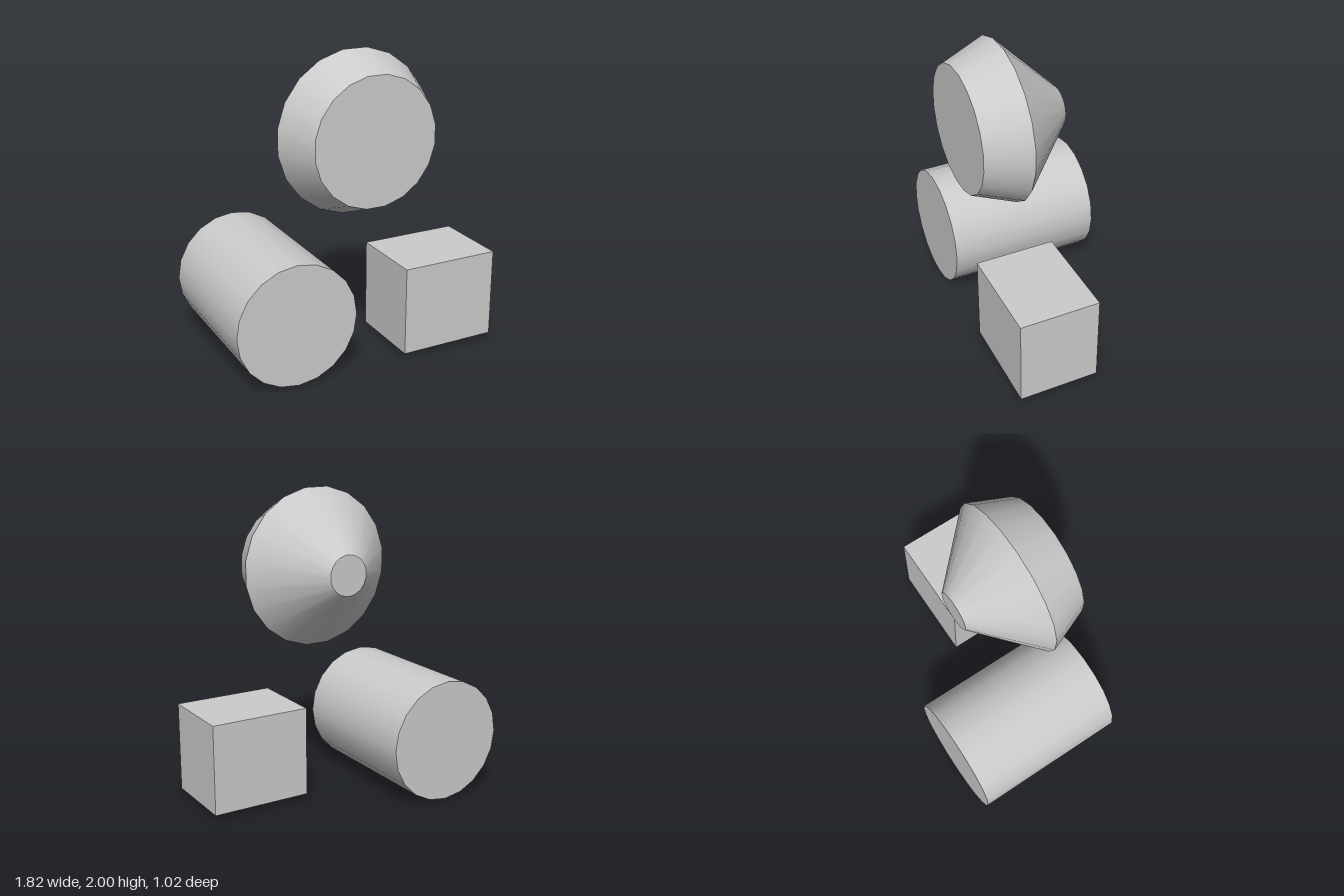
import * as THREE from 'three';

const SIDES = 20;

export function createModel() {
  const model = new THREE.Group();
  const material = new THREE.MeshStandardMaterial({ color: 0xcccccc });

  const add = (parent, name, geometry, x, y, z) => {
    const mesh = new THREE.Mesh(geometry, material);
    mesh.name = name;
    mesh.position.set(x, y, z);
    parent.add(mesh);
  };

  // Round solid lying along z, from zBack to zFront
  const roundAlongZ = (rFront, rBack, zBack, zFront, open, phase) =>
    new THREE.CylinderGeometry(rFront, rBack, zFront - zBack, SIDES, 1, open, phase)
      .rotateX(Math.PI / 2)
      .translate(0, 0, (zFront + zBack) / 2);

  // Cylinder and block on the lower level
  add(model, 'cylinder', roundAlongZ(0.4, 0.4, -0.51, 0.51, false, 0), -0.512, 0.402, 0);
  add(model, 'block', new THREE.BoxGeometry(0.66, 0.59, 0.525), 0.577, 0.325, 0.245);

  // Double cone: two open frustums meeting at a sharp rim, closed by flat discs
  const doubleCone = new THREE.Group();
  doubleCone.name = 'doubleCone';
  doubleCone.position.set(0.015, 1.483, 0);
  const phase = Math.PI / SIDES;
  const rFront = 0.411, rRim = 0.523, rBack = 0.132;
  const zFront = 0.51, zRim = 0.232, zBack = -0.155;
  add(doubleCone, 'frontFrustum', roundAlongZ(rFront, rRim, zRim, zFront, true, phase), 0, 0, 0);
  add(doubleCone, 'backFrustum', roundAlongZ(rRim, rBack, zBack, zRim, true, phase), 0, 0, 0);
  add(doubleCone, 'frontDisc', new THREE.CircleGeometry(rFront, SIDES, phase), 0, 0, zFront);
  add(doubleCone, 'backDisc', new THREE.CircleGeometry(rBack, SIDES, phase).rotateY(Math.PI), 0, 0, zBack);
  model.add(doubleCone);

  return model;
}
